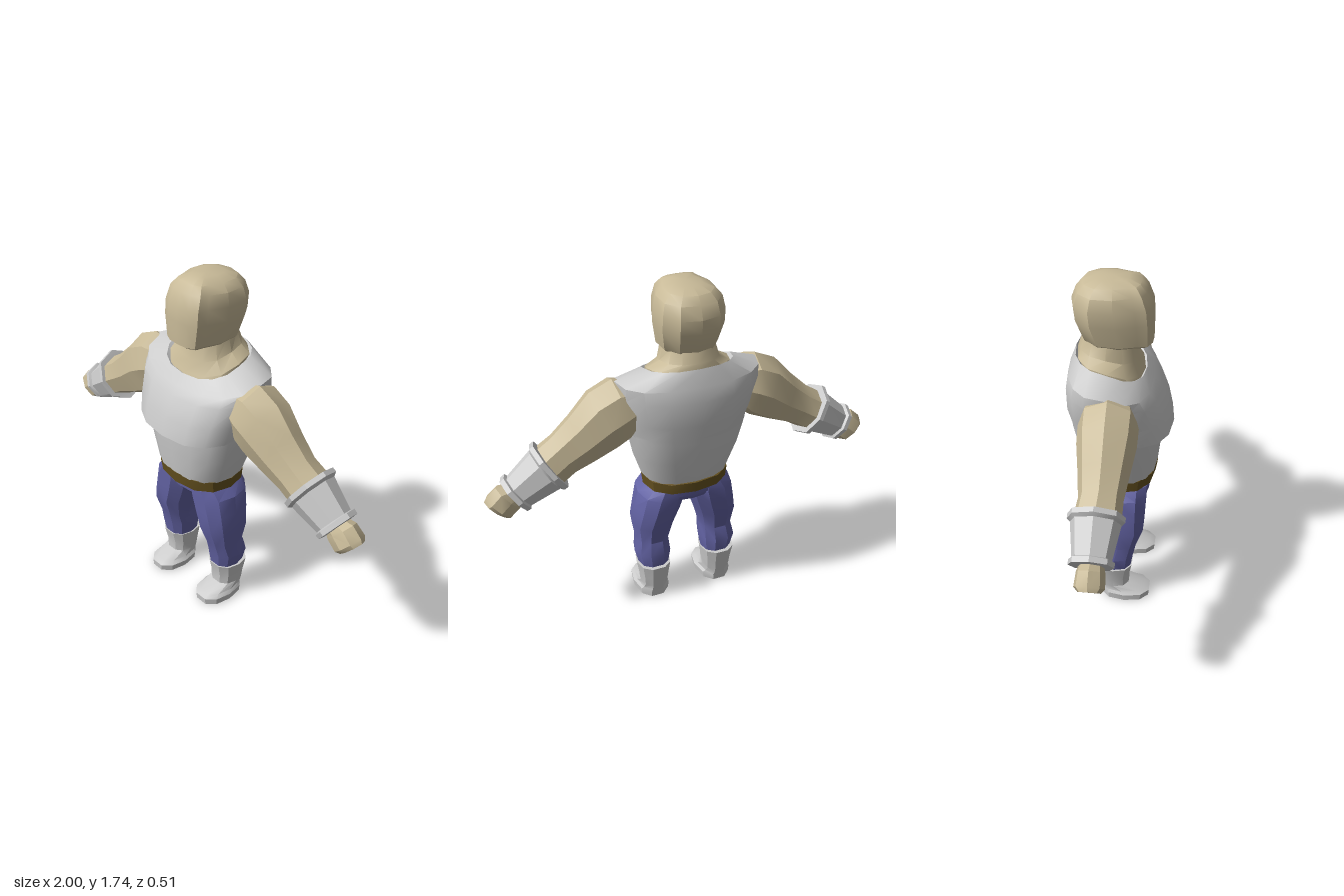
import * as THREE from 'three';
import { toCreasedNormals } from 'three/addons/utils/BufferGeometryUtils.js';

const mat = (color) => new THREE.MeshStandardMaterial({ color });
const V = (x, y, z) => new THREE.Vector3(x, y, z);

// Signed power, squares off an ellipse
const spow = (v, p) => Math.sign(v) * Math.abs(v) ** p;

// Level ring: x and z ranges, heights at [front, side, back], p < 1 is boxier
function ring(x0, x1, back, front, y, n = 12, p = 0.85) {
  const [yf, ys, yb] = Array.isArray(y) ? y : [y, y, y];
  return Array.from({ length: n }, (_, i) => {
    const a = (i / n) * Math.PI * 2;
    const c = spow(Math.cos(a), p), s = spow(Math.sin(a), p);
    return V((x0 + x1) / 2 + c * (x1 - x0) / 2,
      ys + ((s > 0 ? yf : yb) - ys) * Math.abs(s),
      (back + front) / 2 + s * (front - back) / 2);
  });
}

// Ring across a limb, from its top point to its bottom point
function limbRing([tx, ty, bx, by, back, front], side, n = 8) {
  return Array.from({ length: n }, (_, i) => {
    const a = (i / n) * Math.PI * 2, c = Math.cos(a), s = spow(Math.sin(a), 0.85);
    return V(side * ((tx + bx) / 2 + c * (tx - bx) / 2),
      (ty + by) / 2 + c * (ty - by) / 2,
      (back + front) / 2 + s * (front - back) / 2);
  });
}

// Skin a closed, capped surface over rings; faces always turned outward
function loft(name, rings, color, crease = 0.55) {
  const n = rings[0].length, pts = rings.flat(), tris = [];
  for (let r = 0; r < rings.length - 1; r++) {
    for (let i = 0; i < n; i++) {
      const a = r * n + i, b = r * n + (i + 1) % n;
      tris.push([a, b, a + n], [b, b + n, a + n]);
    }
  }
  [[0, 1], [rings.length - 1, 0]].forEach(([r, flip]) => {
    const mid = V(0, 0, 0);
    rings[r].forEach((p) => mid.addScaledVector(p, 1 / n));
    const m = pts.push(mid) - 1;
    for (let i = 0; i < n; i++) {
      const a = r * n + i, b = r * n + (i + 1) % n;
      tris.push(flip ? [b, a, m] : [a, b, m]);
    }
  });
  let volume = 0;
  tris.forEach(([a, b, c]) => { volume += pts[a].dot(pts[b].clone().cross(pts[c])); });
  if (volume < 0) tris.forEach((t) => t.reverse());
  const geo = new THREE.BufferGeometry().setFromPoints(pts);
  geo.setIndex(tris.flat());
  const mesh = new THREE.Mesh(toCreasedNormals(geo, crease), mat(color));
  mesh.name = name;
  return mesh;
}

const SKIN = 0xc8ba98, CLOTH = 0x6363a4, LEATHER = 0x665220, GREY = 0xcccccc;

// Half outline of the head seen from above, scaled to each level
const headOutline = [[0, 1], [0.4, 0.98], [0.7, 0.86], [0.78, 0.6], [1, 0.1],
  [0.96, -0.5], [0.6, -0.88], [0, -1]];
function headRing(w, back, front, yf, yb) {
  const half = headOutline.map(([x, z]) => V(x * w, yb + (yf - yb) * (z + 1) / 2,
    (front + back) / 2 + z * (front - back) / 2));
  const other = half.slice(1, -1).reverse().map((p) => V(-p.x, p.y, p.z));
  return half.concat(other);
}

function createHead() {
  const g = new THREE.Group();
  g.name = 'head';
  g.add(loft('skull', [
    headRing(0.115, -0.165, 0.135, 1.425, 1.43),
    headRing(0.135, -0.175, 0.155, 1.44, 1.45),
    headRing(0.155, -0.215, 0.156, 1.55, 1.55),
    headRing(0.155, -0.222, 0.15, 1.62, 1.62),
    headRing(0.142, -0.2, 0.125, 1.685, 1.68),
    headRing(0.11, -0.17, 0.095, 1.72, 1.715),
    headRing(0.06, -0.11, 0.04, 1.738, 1.735),
  ], SKIN));
  g.add(loft('neck', [
    ring(-0.2, 0.2, -0.2, 0.13, [1.24, 1.3, 1.34]),
    ring(-0.2, 0.2, -0.2, 0.115, [1.285, 1.345, 1.37]),
    ring(-0.14, 0.14, -0.19, 0.085, [1.34, 1.38, 1.4]),
    ring(-0.12, 0.12, -0.17, 0.07, 1.46),
  ], SKIN, 0.8));
  return g;
}

function createTorso() {
  const g = new THREE.Group();
  g.name = 'torso';
  // Lower vest, tucked under the chest plate
  g.add(loft('vest', [
    ring(-0.22, 0.22, -0.163, 0.185, 0.745, 16),
    ring(-0.265, 0.265, -0.2, 0.2, 0.88, 16),
    ring(-0.295, 0.295, -0.225, 0.205, [0.99, 1.03, 1.0], 16),
    // chest overhang
    ring(-0.305, 0.305, -0.23, 0.26, [0.995, 1.035, 1.03], 16),
    ring(-0.325, 0.325, -0.25, 0.238, [1.09, 1.13, 1.11], 16),
    ring(-0.35, 0.35, -0.25, 0.195, [1.19, 1.25, 1.23], 16),
    ring(-0.352, 0.352, -0.235, 0.165, [1.23, 1.305, 1.3], 16),
    ring(-0.215, 0.215, -0.205, 0.125, [1.28, 1.35, 1.38], 16),
    ring(-0.185, 0.185, -0.18, 0.1, [1.26, 1.32, 1.34], 16),
  ], GREY, 0.6));
  g.add(loft('belt', [
    ring(-0.205, 0.205, -0.15, 0.165, 0.68),
    ring(-0.215, 0.215, -0.163, 0.178, 0.685),
    ring(-0.222, 0.222, -0.168, 0.188, [0.75, 0.745, 0.74]),
    ring(-0.2, 0.2, -0.15, 0.17, 0.75),
  ], LEATHER));
  g.add(loft('hips', [
    ring(-0.1, 0.1, -0.07, 0.08, 0.585),
    ring(-0.19, 0.19, -0.12, 0.125, 0.615),
    ring(-0.238, 0.238, -0.137, 0.15, 0.645),
    ring(-0.195, 0.195, -0.142, 0.155, 0.69),
  ], CLOTH));
  return g;
}

// Top and bottom points (x, y), then back and front z, along each limb piece
const armRings = [
  [0.28, 1.29, 0.26, 1.06, -0.14, 0.1], [0.36, 1.31, 0.3, 1.0, -0.155, 0.12],
  [0.47, 1.26, 0.35, 0.965, -0.15, 0.12], [0.57, 1.15, 0.46, 0.915, -0.13, 0.1],
  [0.66, 1.065, 0.56, 0.875, -0.115, 0.085], [0.73, 1.02, 0.62, 0.84, -0.125, 0.085],
];
const bracerRings = [
  [0.73, 1.025, 0.615, 0.835, -0.13, 0.08], [0.748, 1.048, 0.6, 0.818, -0.152, 0.102],
  [0.768, 1.036, 0.62, 0.806, -0.152, 0.102], [0.766, 1.01, 0.64, 0.815, -0.137, 0.087],
  [0.885, 0.898, 0.782, 0.752, -0.112, 0.062], [0.898, 0.908, 0.782, 0.738, -0.125, 0.075],
  [0.918, 0.893, 0.802, 0.73, -0.125, 0.075], [0.905, 0.87, 0.825, 0.755, -0.09, 0.04],
];
const handRings = [
  [0.885, 0.865, 0.82, 0.77, -0.075, 0.03], [0.94, 0.865, 0.83, 0.74, -0.085, 0.04],
  [0.99, 0.82, 0.88, 0.7, -0.09, 0.045], [1.0, 0.8, 0.905, 0.7, -0.07, 0.03],
];

function createArm(side) {
  const g = new THREE.Group();
  g.name = side > 0 ? 'leftArm' : 'rightArm';
  const piece = (name, rows, color) =>
    g.add(loft(name, rows.map((r) => limbRing(r, side)), color));
  piece('arm', armRings, SKIN);
  piece('bracer', bracerRings, GREY);
  piece('hand', handRings, SKIN);
  return g;
}

function createLeg(side) {
  const g = new THREE.Group();
  g.name = side > 0 ? 'leftLeg' : 'rightLeg';
  // inner x, outer x, back z, front z, height
  const piece = (name, rows, color) => g.add(loft(name,
    rows.map(([a, b, back, front, y]) => ring(side * a, side * b, back, front, y, 10)), color));
  piece('trouserLeg', [
    [0.1, 0.25, -0.085, 0.075, 0.18], [0.085, 0.275, -0.1, 0.09, 0.28],
    [0.09, 0.262, -0.078, 0.105, 0.35], [0.065, 0.278, -0.105, 0.14, 0.45],
    [0.03, 0.262, -0.125, 0.145, 0.55], [0.005, 0.245, -0.137, 0.15, 0.64],
    [0.03, 0.2, -0.13, 0.15, 0.685],
  ], CLOTH);
  piece('boot', [
    [0.09, 0.265, -0.08, 0.175, 0], [0.085, 0.268, -0.083, 0.178, 0.035],
    [0.1, 0.255, -0.085, 0.15, 0.05], [0.105, 0.25, -0.088, 0.068, 0.08],
    [0.1, 0.255, -0.095, 0.068, 0.13], [0.09, 0.268, -0.11, 0.085, 0.205],
    [0.105, 0.25, -0.09, 0.07, 0.205],
  ], GREY);
  return g;
}

export function createModel() {
  const model = new THREE.Group();
  model.name = 'figure';
  model.add(createHead(), createTorso());
  for (const side of [1, -1]) model.add(createArm(side), createLeg(side));
  return model;
}
